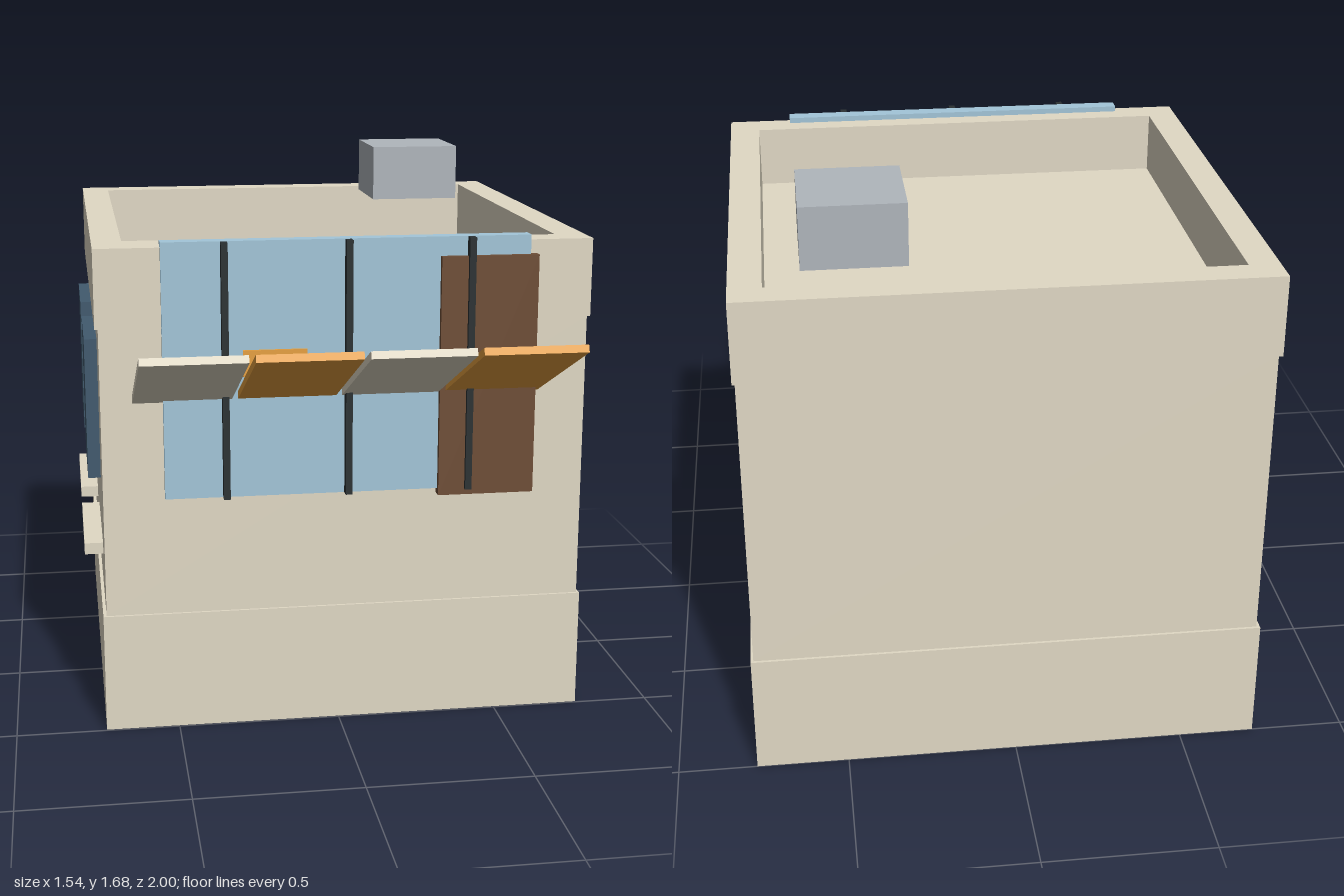
import * as THREE from 'three';

const mat = (name, color) => {
  const m = new THREE.MeshStandardMaterial({ color });
  m.name = name;
  return m;
};

export function createModel() {
  const group = new THREE.Group();
  const cream = mat('cream', 0xe1d9c5);
  const orange = mat('orange', 0xe7a141);
  const glass = mat('glass', 0xa3c6d9);
  const frame = mat('frame', 0x2b3133);
  const wood = mat('wood', 0x6f4e37);
  const darkGlass = mat('darkGlass', 0x415a6e);
  const metal = mat('metal', 0xb0b6bc);

  // Box given by its two extreme corners
  const box = (name, m, [x0, y0, z0], [x1, y1, z1]) => {
    const mesh = new THREE.Mesh(new THREE.BoxGeometry(x1 - x0, y1 - y0, z1 - z0), m);
    mesh.position.set((x0 + x1) / 2, (y0 + y1) / 2, (z0 + z1) / 2);
    mesh.name = name;
    group.add(mesh);
  };

  // Building body
  box('base', cream, [-0.725, 0, -1], [0.77, 0.37, 0.495]);
  box('walls', cream, [-0.715, 0.37, -0.992], [0.762, 1.26, 0.487]);
  box('roofFloor', cream, [-0.645, 1.26, -0.92], [0.685, 1.31, 0.41]);

  // Parapet: a square ring around the sunken roof, wound counter-clockwise
  const rect = (P, x0, z0, x1, z1) =>
    new P([[x0, z1], [x1, z1], [x1, z0], [x0, z0]].map(([x, z]) => new THREE.Vector2(x, -z)));
  const ring = rect(THREE.Shape, -0.725, -1, 0.77, 0.495);
  ring.holes.push(rect(THREE.Path, -0.635, -0.91, 0.677, 0.4));
  const parapet = new THREE.Mesh(
    new THREE.ExtrudeGeometry(ring, { depth: 0.238, bevelEnabled: false }), cream);
  parapet.rotation.x = -Math.PI / 2;
  parapet.position.y = 1.26;
  parapet.name = 'parapet';
  group.add(parapet);

  box('roofUnit', metal, [0.28, 1.498, -0.81], [0.575, 1.68, -0.51]);

  // Shop front
  box('shopWindow', glass, [-0.53, 0.74, 0.463], [0.575, 1.515, 0.51]);
  box('door', wood, [0.301, 0.722, 0.487], [0.597, 1.457, 0.527]);
  box('sign', orange, [-0.292, 1.11, 0.505], [-0.1, 1.19, 0.518]);
  for (const x of [-0.346, 0.023, 0.392])
    box('mullion', frame, [x - 0.01, 0.74, 0.505], [x + 0.01, 1.514, 0.54]);

  // Awning panels, rising outward
  [-0.473, -0.16, 0.153, 0.466].forEach((x, i) => {
    const panel = new THREE.Mesh(
      new THREE.BoxGeometry(0.295, 0.022, 0.57), i % 2 ? orange : cream);
    panel.position.set(x, 1.155, 0.735);
    panel.rotation.x = -0.415;
    panel.name = 'awningPanel';
    group.add(panel);
  });

  // Side windows with sills
  for (const z of [-0.57, 0.057]) {
    box('sideWindow', darkGlass, [-0.754, 0.74, z - 0.188], [-0.71, 1.182, z + 0.188]);
    box('sill', cream, [-0.773, 0.5, z - 0.219], [-0.71, 0.536, z + 0.219]);
  }
  return group;
}
